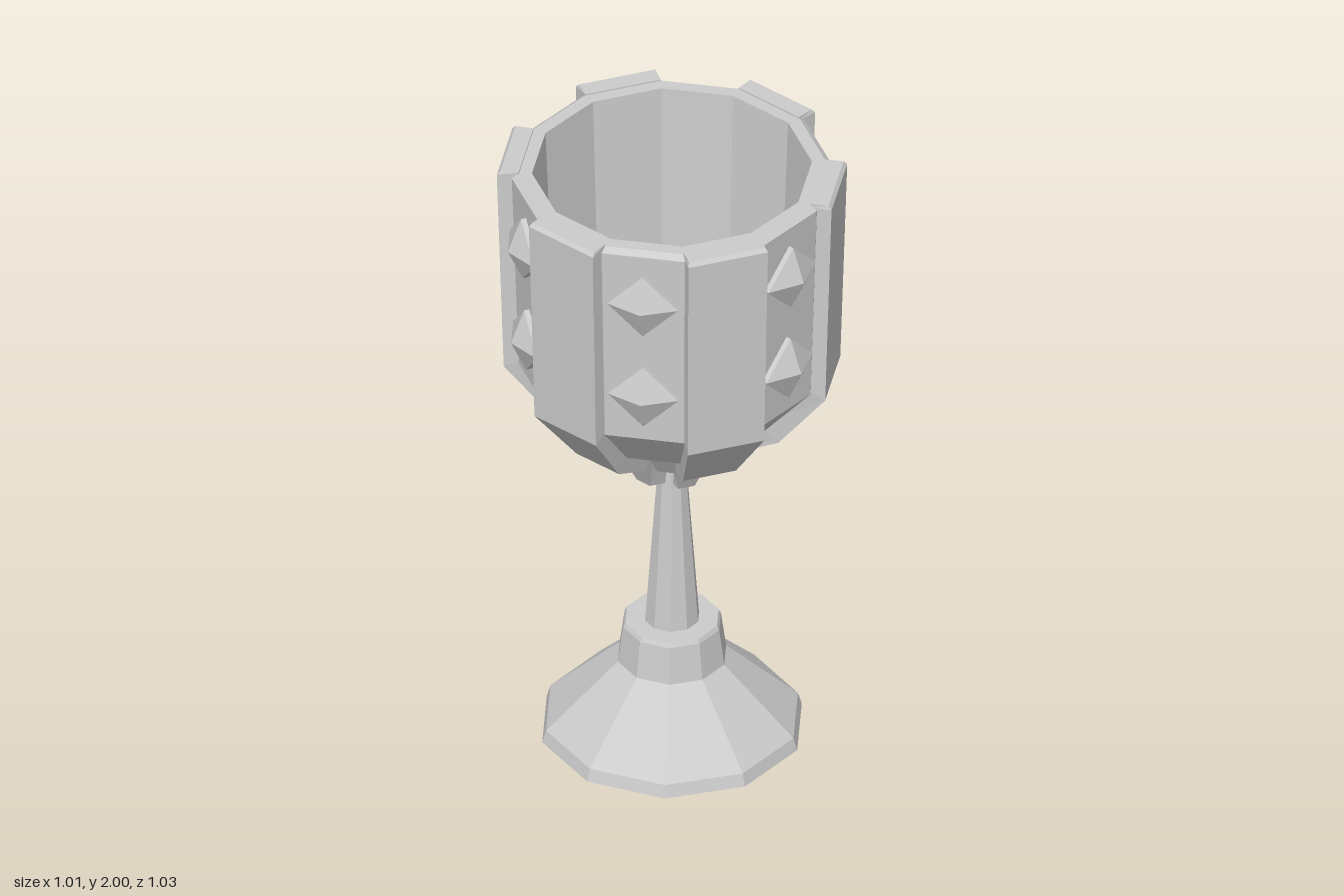
import * as THREE from 'three';

const material = new THREE.MeshStandardMaterial({ color: 0xcccccc, flatShading: true });
const SIDES = 12;
const HALF = Math.PI / SIDES;

function addMesh(parent, geometry, name) {
  const mesh = new THREE.Mesh(geometry, material);
  mesh.name = name;
  parent.add(mesh);
  return mesh;
}

// Faceted solid of revolution; radii are measured at the corners.
function facetedLathe(profile, sides, startAngle) {
  const points = profile.map(([r, y]) => new THREE.Vector2(r, y));
  return new THREE.LatheGeometry(points, sides, startAngle);
}

// Raised rib lofted upward; each station is [outerZ, outerY, innerZ, innerY, halfWidth].
function ribGeometry(stations) {
  const positions = [];
  const index = [];
  for (const [zo, yo, zi, yi, w] of stations) {
    const wi = Math.min(w, zi * Math.tan(HALF));
    positions.push(-w, yo, zo, w, yo, zo, wi, yi, zi, -wi, yi, zi);
  }
  for (let i = 0; i < stations.length - 1; i++) {
    for (let j = 0; j < 4; j++) {
      const a = i * 4 + j;
      const b = i * 4 + (j + 1) % 4;
      index.push(a, b, b + 4, a, b + 4, a + 4);
    }
  }
  const t = (stations.length - 1) * 4;
  index.push(0, 2, 1, 0, 3, 2, t, t + 1, t + 2, t, t + 2, t + 3);
  const geometry = new THREE.BufferGeometry();
  geometry.setAttribute('position', new THREE.Float32BufferAttribute(positions, 3));
  geometry.setIndex(index);
  geometry.computeVertexNormals();
  return geometry;
}

// Diamond stud pointing along +z: a thin four-sided plinth with a pyramid on top.
function studGeometry(radius, plinth, height) {
  const profile = [[radius, -0.02], [radius, plinth], [0, plinth + height]];
  const geometry = facetedLathe(profile, 4, 0);
  geometry.rotateX(Math.PI / 2);
  return geometry;
}

export function createModel() {
  const model = new THREE.Group();
  model.name = 'goblet';

  // Ten-sided foot, collar and stem, with a shallow recess underneath
  const footTurn = THREE.MathUtils.degToRad(7.6);
  addMesh(model, facetedLathe([
    [0, 0.03], [0.33, 0.03], [0.35, 0], [0.398, 0], [0.386, 0.04], [0.166, 0.25],
  ], 10, footTurn), 'foot');
  addMesh(model, facetedLathe([
    [0.166, 0.25], [0.15, 0.37], [0.143, 0.383], [0.08, 0.383],
  ], 10, footTurn), 'collar');
  addMesh(model, facetedLathe([
    [0.083, 0.38], [0.042, 0.95],
  ], 10, footTurn), 'stem');

  // Twelve-sided bowl: outer wall, rim, inner wall and floor (flat-to-centre radii)
  const bowlProfile = [
    [0, 0.93], [0.03, 0.93], [0.09, 0.96], [0.145, 1.04], [0.295, 1.14], [0.44, 1.315],
    [0.46, 1.98], [0.442, 1.995], [0.402, 1.995], [0.375, 1.3], [0, 1.3],
  ].map(([r, y]) => [r / Math.cos(HALF), y]);
  addMesh(model, facetedLathe(bowlProfile, SIDES, HALF), 'bowl');

  // Ribs and studs on alternating faces
  const rib = ribGeometry([
    [0.045, 0.89, 0.02, 0.935, 0.012],
    [0.13, 0.93, 0.08, 0.98, 0.026],
    [0.167, 1.01, 0.13, 1.06, 0.042],
    [0.337, 1.105, 0.28, 1.16, 0.083],
    [0.485, 1.3, 0.425, 1.33, 0.12],
    [0.505, 1.988, 0.44, 1.988, 0.125],
    [0.495, 2, 0.44, 2, 0.12],
  ]);
  const stud = studGeometry(0.107, 0.016, 0.045);
  for (let i = 0; i < 6; i++) {
    const angle = i * Math.PI / 3;
    addMesh(model, rib, 'rib').rotation.y = angle + Math.PI / 6;

    const studs = new THREE.Group();
    studs.name = 'studPair';
    studs.rotation.y = angle;
    for (const [y, z] of [[1.81, 0.455], [1.48, 0.445]]) {
      const mesh = addMesh(studs, stud, 'stud');
      mesh.position.set(0, y, z);
      mesh.rotation.x = 0.03;
    }
    model.add(studs);
  }
  return model;
}
